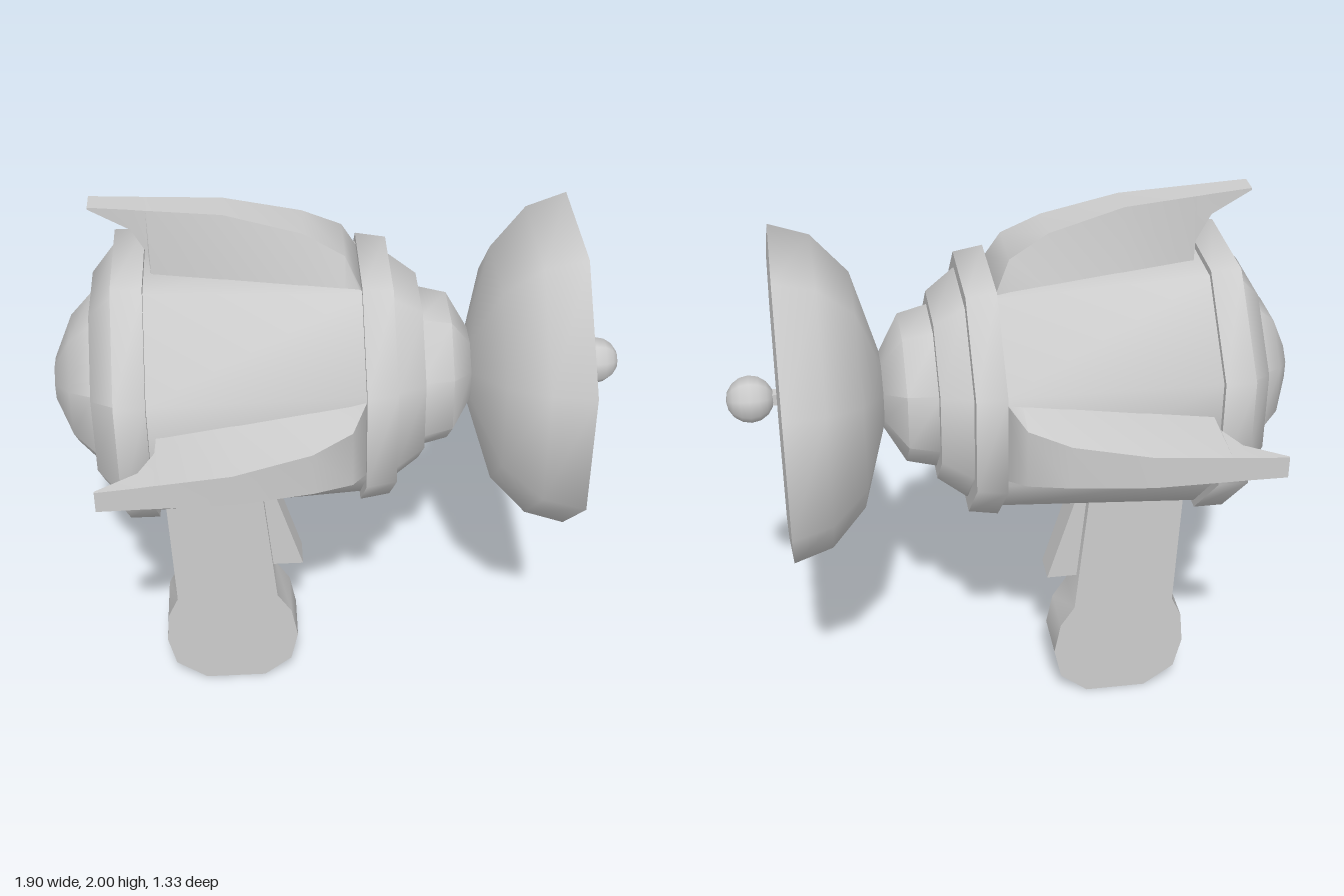
import * as THREE from 'three';
import { toCreasedNormals } from 'three/addons/utils/BufferGeometryUtils.js';

const AXIS_Y = 1.333;
const CREASE = 0.86;

export function createModel() {
  const group = new THREE.Group();
  const material = new THREE.MeshStandardMaterial({ color: 0xcccccc });

  function add(name, geometry, parent = group) {
    const mesh = new THREE.Mesh(geometry, material);
    mesh.name = name;
    parent.add(mesh);
    return mesh;
  }

  // Turned part along the barrel axis; profile is [x, distance to the flat sides]
  function turned(name, profile, sides = 8) {
    const k = 1 / Math.cos(Math.PI / sides);
    const points = profile.map(([x, r]) => new THREE.Vector2(r * k, x));
    const geo = new THREE.LatheGeometry(points, sides, Math.PI / sides);
    geo.rotateZ(-Math.PI / 2);
    add(name, toCreasedNormals(geo, CREASE)).position.y = AXIS_Y;
  }

  // Flat part cut from a side outline, centred on z
  function plate(name, outline, depth) {
    const shape = new THREE.Shape(outline.map(([x, y]) => new THREE.Vector2(x, y)));
    const geo = new THREE.ExtrudeGeometry(shape, { depth, bevelEnabled: false });
    geo.translate(0, 0, -depth / 2);
    add(name, toCreasedNormals(geo, 0.5));
  }

  // Barrel, back to front
  turned('rearDome', [[-0.95, 0], [-0.95, 0.07], [-0.89, 0.2], [-0.81, 0.277], [-0.78, 0.277]]);
  turned('rearShoulder', [[-0.81, 0], [-0.81, 0.33], [-0.73, 0.42], [-0.7, 0.42]]);
  turned('rearRing', [[-0.73, 0.3], [-0.73, 0.458], [-0.63, 0.458], [-0.63, 0.3]]);
  turned('body', [[-0.64, 0.436], [0.07, 0.398]]);
  turned('frontRing', [[0.06, 0.3], [0.06, 0.425], [0.16, 0.41], [0.16, 0.25]]);
  turned('frontCollar', [[0.15, 0.363], [0.165, 0.36], [0.26, 0.295], [0.26, 0.1]]);
  turned('neck', [[0.25, 0.257], [0.36, 0.232], [0.43, 0.12], [0.43, 0]]);

  // Hollow dish with a bevelled rim
  turned('dish', [
    [0.43, 0], [0.43, 0.12], [0.51, 0.37], [0.63, 0.49], [0.765, 0.53],
    [0.775, 0.445], [0.65, 0.41], [0.55, 0.31], [0.46, 0.1], [0.46, 0],
  ]);

  // Antenna: square spike and ball
  turned('antennaSpike', [[0.45, 0.08], [0.78, 0.02], [0.82, 0.02]], 4);
  const ball = new THREE.SphereGeometry(0.08, 8, 8, Math.PI / 8);
  ball.rotateZ(-Math.PI / 2);
  add('antennaBall', ball).position.set(0.867, AXIS_Y, 0);

  // Fin stations: x, outer height, outer half width, inner height, inner half width
  const stations = [
    [-0.79, 0.667, 0.037, 0.66, 0.037],
    [-0.66, 0.658, 0.042, 0.588, 0.045],
    [-0.61, 0.654, 0.045, 0.5, 0.052],
    [-0.605, 0.654, 0.045, 0.41, 0.062],
    [-0.37, 0.637, 0.056, 0.4, 0.09],
    [-0.12, 0.572, 0.076, 0.39, 0.121],
    [0.01, 0.502, 0.102, 0.385, 0.137],
    [0.06, 0.4, 0.143, 0.38, 0.143],
  ];
  const positions = [];
  const index = [];
  stations.forEach(([x, top, tw, low, lw], i) => {
    positions.push(x, top, tw, x, top, -tw, x, low, -lw, x, low, lw);
    if (i === 0) return;
    for (let j = 0; j < 4; j++) {
      const a = (i - 1) * 4 + j, b = (i - 1) * 4 + (j + 1) % 4;
      index.push(a, a + 4, b, b, a + 4, b + 4);
    }
  });
  const end = (stations.length - 1) * 4;
  index.push(0, 1, 2, 0, 2, 3, end, end + 2, end + 1, end, end + 3, end + 2);
  let fin = new THREE.BufferGeometry();
  fin.setAttribute('position', new THREE.Float32BufferAttribute(positions, 3));
  fin.setIndex(index);
  fin = toCreasedNormals(fin, 0.7);
  [['topFin', 0], ['frontFin', Math.PI / 2], ['backFin', -Math.PI / 2]].forEach(([name, angle]) => {
    const mesh = add(name, fin);
    mesh.position.y = AXIS_Y;
    mesh.rotation.x = angle;
  });

  // Grip and trigger
  plate('handle', [
    [-0.51, 0], [-0.29, 0], [-0.19, 0.08], [-0.163, 0.2], [-0.185, 0.32], [-0.235, 0.4],
    [-0.285, 0.96], [-0.62, 0.96], [-0.6, 0.4], [-0.637, 0.32], [-0.648, 0.2], [-0.62, 0.08],
  ], 0.185);
  plate('trigger', [[-0.26, 0.52], [-0.138, 0.52], [-0.235, 0.85], [-0.3, 0.85]], 0.11);

  return group;
}
